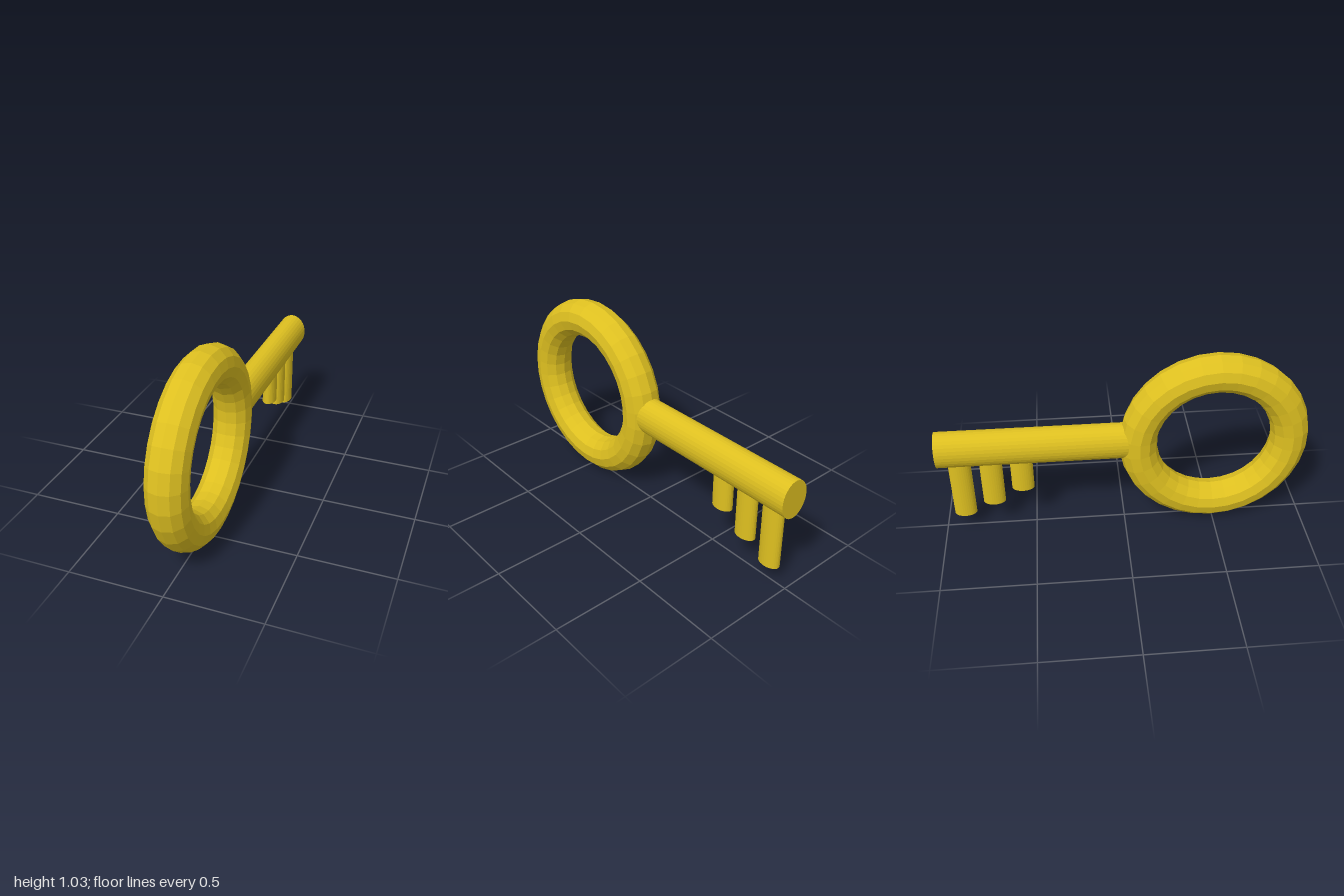
import * as THREE from 'three';

export function createModel() {
  const model = new THREE.Group();
  model.name = 'key';
  const material = new THREE.MeshStandardMaterial({ color: 0xdec020, flatShading: true });

  const add = (name, geometry, x, y, z) => {
    const mesh = new THREE.Mesh(geometry, material);
    mesh.name = name;
    mesh.position.set(x, y, z);
    model.add(mesh);
  };

  // Ring handle, standing in the y-z plane
  const ring = new THREE.TorusGeometry(0.413, 0.103, 12, 30);
  ring.rotateZ(Math.PI / 2).rotateY(Math.PI / 2);
  add('ringHandle', ring, 0, 0.517, 0.487);

  // Oval shaft, its front end buried in the ring
  const front = 0.06, back = -1;
  const shaft = new THREE.CylinderGeometry(0.103, 0.103, front - back, 32);
  shaft.rotateX(Math.PI / 2).scale(0.8, 1, 1);
  add('shaft', shaft, 0, 0.533, (front + back) / 2);

  // Three oval teeth, longer towards the tip
  const top = 0.5;
  [[-0.558, 0.253], [-0.722, 0.167], [-0.888, 0.096]].forEach(([z, bottom], i) => {
    const tooth = new THREE.CylinderGeometry(0.061, 0.061, top - bottom, 32);
    tooth.scale(0.65, 1, 1);
    add(`tooth${i + 1}`, tooth, 0, (top + bottom) / 2, z);
  });

  return model;
}
